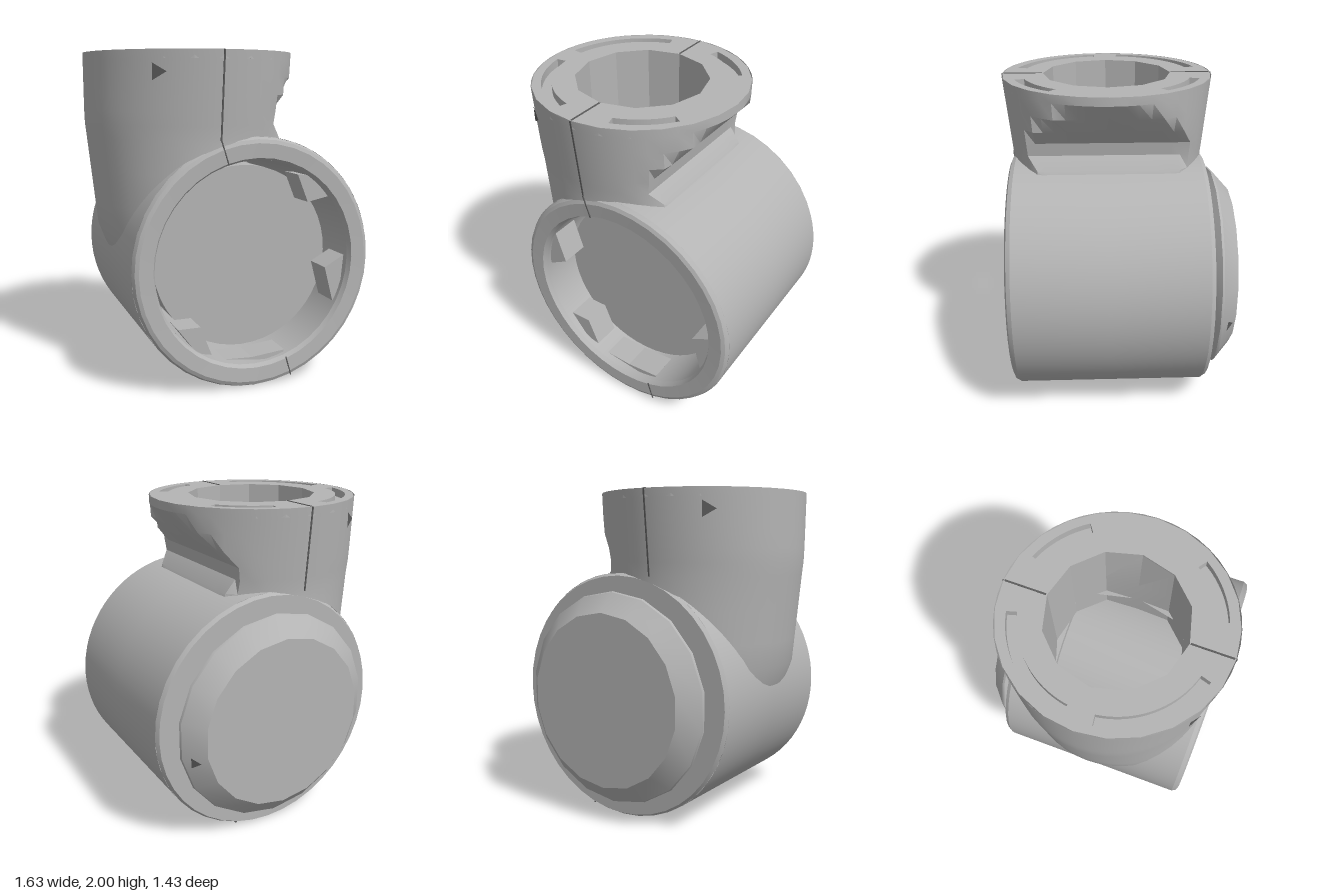
import * as THREE from 'three';
import { toCreasedNormals } from 'three/addons/utils/BufferGeometryUtils.js';

const plastic = new THREE.MeshStandardMaterial({ color: 0xb4b4b4, side: THREE.DoubleSide });
plastic.name = 'grey plastic';
const dark = new THREE.MeshStandardMaterial({ color: 0x5c5c5c, side: THREE.DoubleSide });
dark.name = 'dark recess';

const CX = 0.055, CY = 0.76, R = 0.755, BORE = 0.62; // horizontal barrel
const TX = -0.175, TZ = 0.055, HOLE = 0.4;           // vertical socket
const lerp = THREE.MathUtils.lerp, clamp = THREE.MathUtils.clamp;

// Piecewise linear lookup through [key, value] pairs in descending key order
function lookup(pairs, k) {
  for (let i = 1; i < pairs.length; i++) {
    const [k0, v0] = pairs[i - 1], [k1, v1] = pairs[i];
    if (k >= k1) return lerp(v1, v0, clamp((k - k1) / (k0 - k1), 0, 1));
  }
  return pairs[pairs.length - 1][1];
}

// Surface over a grid of nu by nv cells, point(i, j) giving [x, y, z]
function surface(nu, nv, point, crease = 0.5) {
  const pos = [], idx = [];
  for (let i = 0; i <= nu; i++) for (let j = 0; j <= nv; j++) pos.push(...point(i, j));
  for (let i = 0; i < nu; i++) for (let j = 0; j < nv; j++) {
    const a = i * (nv + 1) + j, b = a + nv + 1;
    idx.push(a, b, a + 1, b, b + 1, a + 1);
  }
  const g = new THREE.BufferGeometry();
  g.setAttribute('position', new THREE.Float32BufferAttribute(pos, 3));
  g.setIndex(idx);
  return toCreasedNormals(g, crease);
}

// Turned part on the barrel axis from [radius, z] points
function turned(points, segments) {
  const g = new THREE.LatheGeometry(points.map(p => new THREE.Vector2(...p)), segments);
  g.rotateX(Math.PI / 2).translate(CX, CY, 0);
  return toCreasedNormals(g, 0.4);
}

// Height where the barrel of radius r is met from above at x
function barrelTop(x, r, lowest) {
  const d = r * r - (x - CX) ** 2;
  return d > 0 ? Math.max(lowest, CY + Math.sqrt(d)) : lowest;
}

export function createModel() {
  const group = new THREE.Group();
  const add = (name, geometry, material = plastic) => {
    const m = new THREE.Mesh(geometry, material);
    m.name = name;
    group.add(m);
    return m;
  };

  // Barrel walls, opened at the top below the socket
  const wall = (r, side) => surface(72, 1, (i, j) => {
    const a = i / 72 * Math.PI * 2, x = CX + r * Math.cos(a), dx = x - TX;
    const open = Math.sin(a) > 0 && x < 0.18 ? Math.sqrt(Math.max(0, HOLE * HOLE - dx * dx)) : 0;
    const z = j === 0 ? (side > 0 ? 0.63 : -0.52) : TZ + side * open;
    return [x, CY + r * Math.sin(a), z];
  });
  for (const side of [1, -1]) {
    add('barrelOuterWall', wall(R, side));
    add('barrelInnerWall', wall(BORE, side));
  }

  // Rims, inner drum and rear cap
  add('frontRim', turned([[BORE, 0.63], [0.635, 0.66], [0.72, 0.665], [0.742, 0.655], [R, 0.63]], 40));
  add('rearRim', turned([[R, -0.52], [0.74, -0.545], [0.58, -0.545]], 40));
  add('innerDrum', turned([[0, 0.42], [0.57, 0.42], [0.57, -0.31], [0.61, -0.31], [0.61, -0.54]], 48));
  add('rearCap', turned([[0.59, -0.54], [0.6, -0.56], [0.65, -0.6], [0.645, -0.615], [0.53, -0.717], [0, -0.717]], 18));

  // Wedge lugs inside the front opening
  const lugs = [
    [[-0.5, 1.08], [-0.43, 0.85], [-0.56, 0.78], [-0.58, 0.95]],
    [[0.34, 1.28], [0.41, 1.11], [0.56, 1.14], [0.45, 1.27]],
    [[0.67, 0.76], [0.54, 0.69], [0.6, 0.47], [0.65, 0.55]],
    [[-0.42, 0.4], [-0.28, 0.4], [-0.21, 0.22], [-0.3, 0.24]],
    [[-0.13, 0.18], [0.24, 0.13], [0.27, 0.19], [0.05, 0.17]],
  ];
  for (const pts of lugs) {
    const s = new THREE.Shape(pts.map(p => new THREE.Vector2(...p)));
    add('lug', new THREE.ExtrudeGeometry(s, { depth: 0.18, bevelEnabled: false }).translate(0, 0, 0.42));
  }

  // Socket outer wall: tapers down and is cut away on one side
  const rx = [[2, 0.645], [1.6, 0.645], [0.95, 0.575], [0.82, 0.525]];
  const rz = [[2, 0.655], [1.5, 0.605], [0.8, 0.6]];
  const cut = [[2, 0.48], [1.95, 0.47], [1.66, 0.21], [1.58, 0.2], [1.48, 0.28]];
  const heights = [2, 1.95, 1.85, 1.75, 1.66, 1.58, 1.5, 1.3, 1.1, 0.95, 0.82];
  add('socketOuterWall', surface(48, heights.length - 1, (i, j) => {
    const a = i / 48 * Math.PI * 2, c = Math.cos(a);
    const y = Math.max(heights[j], barrelTop(Math.min(TX + 0.6 * c, 0.28), 0.74, 0.82));
    return [Math.min(TX + lookup(rx, y) * c, lookup(cut, y)), y, TZ + lookup(rz, y) * Math.sin(a)];
  }, 0.4));

  // Socket bore down to the drum
  add('socketBore', surface(12, 2, (i, j) => {
    const a = i / 12 * Math.PI * 2, top = TX + HOLE * Math.cos(a);
    const x = j === 0 ? top : Math.min(top, 0.18);
    const y = j === 0 ? 1.99 : j === 1 ? 1.7 : barrelTop(x, BORE, CY);
    return [x, y, TZ + HOLE * Math.sin(a)];
  }, 0.2));

  // Socket lip with four curved slots over a floor ring
  const ring = (slots) => {
    const s = new THREE.Shape().absellipse(0, 0, 0.642, 0.652, 0, Math.PI * 2);
    const hole = [];
    for (let i = 0; i < 12; i++) {
      const a = -i / 12 * Math.PI * 2;
      hole.push(new THREE.Vector2(HOLE * Math.cos(a), HOLE * Math.sin(a)));
    }
    s.holes.push(new THREE.Path(hole));
    for (const [from, to] of slots) {
      const a = from * Math.PI / 180, b = to * Math.PI / 180;
      const p = new THREE.Path();
      p.absarc(0, 0, 0.59, a, b, false);
      p.absarc(0, 0, 0.53, b, a, true);
      p.closePath();
      s.holes.push(p);
    }
    return s;
  };
  const slots = [[35, 72], [106, 172], [188, 254], [288, 325]];
  const lip = new THREE.ExtrudeGeometry(ring(slots), { depth: 0.05, bevelEnabled: false, curveSegments: 12 });
  add('socketLip', lip.rotateX(-Math.PI / 2).translate(TX, 1.95, TZ));
  add('slotFloor', new THREE.ShapeGeometry(ring([]), 12).rotateX(-Math.PI / 2).translate(TX, 1.951, TZ));

  // Seams between the two halves
  const seam = (a, b, width = 0.01) => {
    const p = new THREE.Vector3(...a), q = new THREE.Vector3(...b);
    const m = add('seam', new THREE.BoxGeometry(width, 0.006, p.distanceTo(q)), dark);
    m.position.copy(p).add(q).multiplyScalar(0.5);
    m.lookAt(q);
  };
  seam([TX, 2, 0.71], [TX, 1.5, 0.66]);
  seam([TX, 2, -0.6], [TX, 1.5, -0.55]);
  seam([TX, 1.5, 0.665], [-0.13, 1.36, 0.665], 0.006);
  seam([0.25, 0.17, 0.665], [0.285, 0.05, 0.665], 0.006);
  seam([0.28, 0.04, 0.63], [0.28, 0.04, -0.53]);
  seam([TX, 2, 0.46], [TX, 2, 0.7]);
  seam([TX, 2, -0.59], [TX, 2, -0.35]);

  // Small triangular pits
  const pit = (pos, normal, size = 0.06) => {
    const m = add('pit', new THREE.CircleGeometry(size, 3), dark);
    m.position.set(...pos);
    m.lookAt(new THREE.Vector3(...pos).add(new THREE.Vector3(...normal)));
  };
  pit([-0.53, 1.88, 0.605], [-0.53, 0, 0.84], 0.055);
  pit([-0.53, 1.88, -0.495], [-0.53, 0, -0.84], 0.055);
  pit([0.635, 0.63, -0.665], [0.68, -0.14, -0.72], 0.04);
  for (const z of [0.3, -0.2]) pit([-0.05, 0.01, z], [-0.14, -1, 0], 0.04);

  return group;
}
